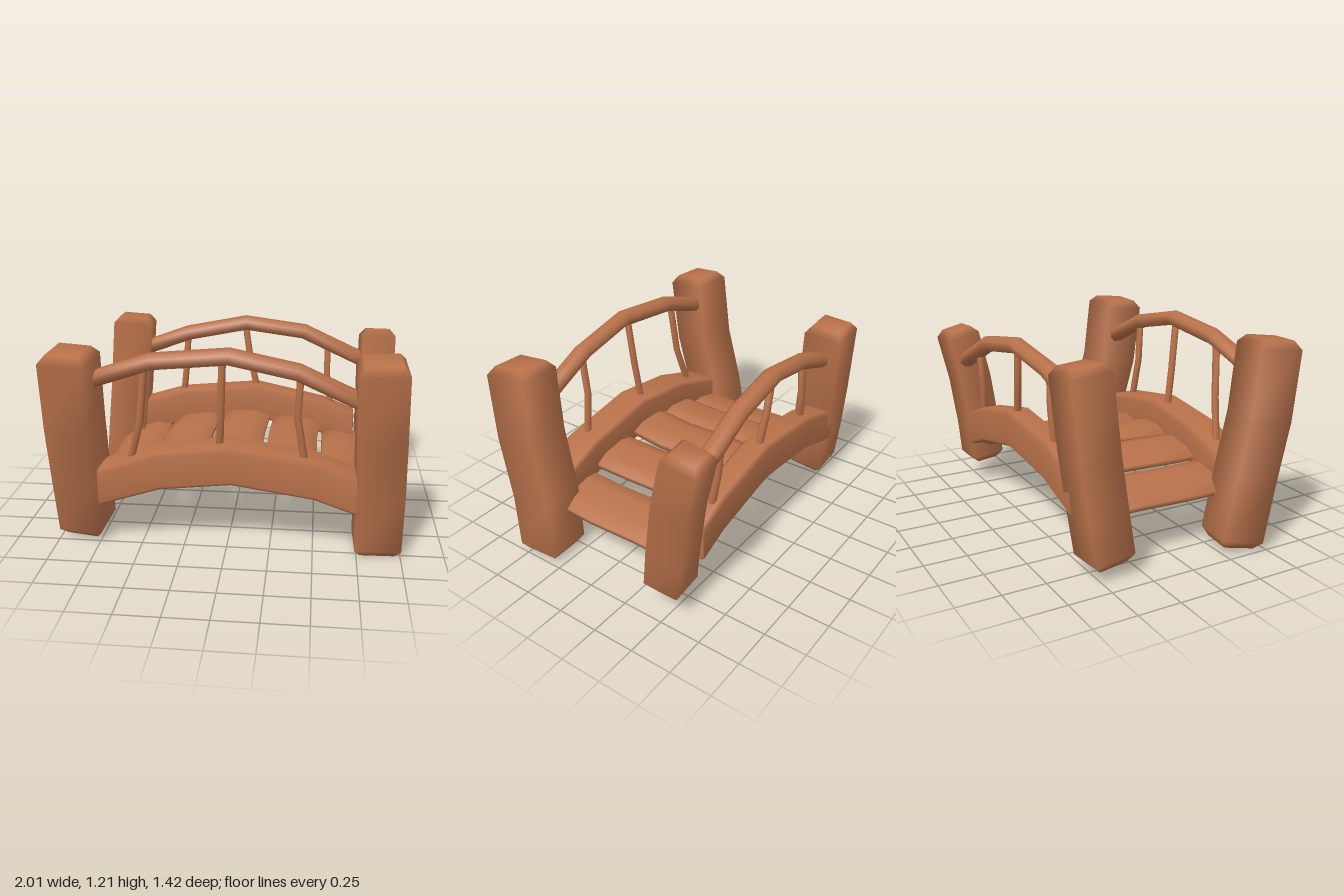
import * as THREE from 'three';

const V = (p) => new THREE.Vector3(...p);

// Sweeps a rectangle (half sizes hw, hh; corners cut by cu, cv) along a path.
// ref sets the width direction; axis, if given, keeps all sections square to it.
function sweep(points, { hw, hh, cu = 0, cv = cu, ref, axis, bevel = 0, inset = 0 }) {
  const path = points.map(V);
  const last = path.length - 1;
  const section = cu ? [
    [hw, -(hh - cv)], [hw, hh - cv], [hw - cu, hh], [-(hw - cu), hh],
    [-hw, hh - cv], [-hw, -(hh - cv)], [-(hw - cu), -hh], [hw - cu, -hh],
  ] : [[hw, -hh], [hw, hh], [-hw, hh], [-hw, -hh]];
  const rings = [];
  path.forEach((c, i) => {
    const t = axis ? V(axis)
      : path[Math.min(i + 1, last)].clone().sub(path[Math.max(i - 1, 0)]).normalize();
    const v = t.clone().cross(V(ref)).normalize();
    const u = v.clone().cross(t);
    const ring = (center, su, sv) => rings.push(section.map(([a, b]) =>
      center.clone().addScaledVector(u, a * su).addScaledVector(v, b * sv)));
    const su = 1 - inset / hw, sv = 1 - inset / hh;
    if (bevel && i === 0) ring(c, su, sv);
    const shift = i === 0 ? bevel : i === last ? -bevel : 0;
    ring(c.clone().addScaledVector(t, shift), 1, 1);
    if (bevel && i === last) ring(c, su, sv);
  });

  const n = section.length, index = [];
  const end = (rings.length - 1) * n;
  for (let i = 0; i < rings.length - 1; i++) {
    for (let j = 0; j < n; j++) {
      const a = i * n + j, b = i * n + (j + 1) % n;
      index.push(a, b, b + n, a, b + n, a + n);
    }
  }
  for (let j = 1; j < n - 1; j++) {
    index.push(0, j + 1, j);
    index.push(end, end + j, end + j + 1);
  }
  const g = new THREE.BufferGeometry().setFromPoints(rings.flat());
  g.setIndex(index);
  g.computeVertexNormals();
  return g;
}

export function createModel() {
  const model = new THREE.Group();
  model.name = 'footbridge';
  const wood = new THREE.MeshStandardMaterial({ color: 0xb8714a });
  wood.name = 'wood';

  const add = (name, points, options) => {
    const mesh = new THREE.Mesh(sweep(points, options), wood);
    mesh.name = name;
    model.add(mesh);
  };

  // Four crooked corner posts, leaning outward, softly shaded around their corners
  const post = (name, half, yaw, points) => add(name, points, {
    hw: half, hh: half, ref: [1, 0, yaw], bevel: 0.045, inset: 0.035,
  });
  post('frontLeftPost', 0.132, -0.03,
    [[0.865, 0.005, 0.42], [0.865, 0.4, 0.438], [0.847, 0.75, 0.524], [0.83, 1.175, 0.567]]);
  post('frontRightPost', 0.128, 0.15,
    [[-0.86, 0.025, 0.355], [-0.86, 0.4, 0.43], [-0.85, 0.75, 0.52], [-0.845, 1.185, 0.573]]);
  post('backLeftPost', 0.105, -0.08,
    [[0.87, 0.145, -0.468], [0.87, 0.4, -0.491], [0.875, 0.72, -0.535], [0.88, 1.06, -0.612]]);
  post('backRightPost', 0.12, -0.04,
    [[-0.79, 0.065, -0.422], [-0.775, 0.35, -0.46], [-0.75, 0.65, -0.492], [-0.715, 1.135, -0.53]]);

  // Arched side beams with upright ends
  const beam = { hh: 0.112, cu: 0.022, ref: [0, 0, 1], axis: [1, 0, 0], bevel: 0.008, inset: 0.008 };
  add('frontBeam',
    [[-0.735, 0.373, 0.46], [-0.38, 0.487, 0.46], [0.03, 0.535, 0.465], [0.5, 0.463, 0.46], [0.74, 0.378, 0.455]],
    { ...beam, hw: 0.11 });
  add('backBeam',
    [[-0.715, 0.437, -0.513], [-0.4, 0.531, -0.514], [0.1, 0.579, -0.516], [0.55, 0.482, -0.518], [0.745, 0.405, -0.52]],
    { ...beam, hw: 0.082 });

  // Arched handrails
  const rail = { hw: 0.053, hh: 0.044, cu: 0.03, cv: 0.026, ref: [0, 0, 1] };
  add('frontHandrail',
    [[-0.74, 1.01, 0.515], [-0.41, 1.12, 0.515], [0.02, 1.162, 0.525], [0.39, 1.085, 0.52], [0.74, 0.925, 0.515]], rail);
  add('backHandrail',
    [[-0.7, 0.9, -0.52], [-0.36, 1.024, -0.525], [0.02, 1.095, -0.548], [0.4, 1.04, -0.57], [0.8, 0.853, -0.58]], rail);

  // Thin bent balusters between beam and handrail
  const stick = { hw: 0.02, hh: 0.02, cu: 0.011, ref: [1, 0, 0] };
  [
    [[-0.45, 1.08, 0.51], [-0.485, 0.77, 0.49], [-0.56, 0.5, 0.455]],
    [[-0.018, 1.13, 0.515], [-0.03, 0.85, 0.485], [-0.042, 0.6, 0.45]],
    [[0.405, 1.05, 0.515], [0.395, 0.82, 0.5], [0.445, 0.52, 0.48]],
  ].forEach((p) => add('frontBaluster', p, stick));
  [
    [[-0.365, 1.02, -0.525], [-0.378, 0.82, -0.53], [-0.4, 0.6, -0.52]],
    [[0.015, 1.09, -0.545], [0.045, 0.88, -0.54], [0.1, 0.64, -0.525]],
    [[0.56, 0.95, -0.575], [0.56, 0.76, -0.56], [0.595, 0.52, -0.54]],
  ].forEach((p) => add('backBaluster', p, stick));

  // Rounded deck planks: x at the back, middle and front, then height and slope across the arch
  [
    [-0.63, -0.632, -0.632, 0.345, 0.25],
    [-0.285, -0.31, -0.325, 0.433, 0.15],
    [0.035, 0.02, -0.02, 0.465, 0.0],
    [0.37, 0.353, 0.352, 0.43, -0.13],
    [0.695, 0.69, 0.678, 0.328, -0.22],
  ].forEach(([back, mid, front, y, slope]) => add('plank',
    [[back, y + 0.012, -0.5], [mid, y + 0.008, -0.18], [mid, y, 0.12], [front, y, 0.42]],
    { hw: 0.155, hh: 0.045, cu: 0.08, cv: 0.03, ref: [1, slope, 0] }));

  return model;
}
